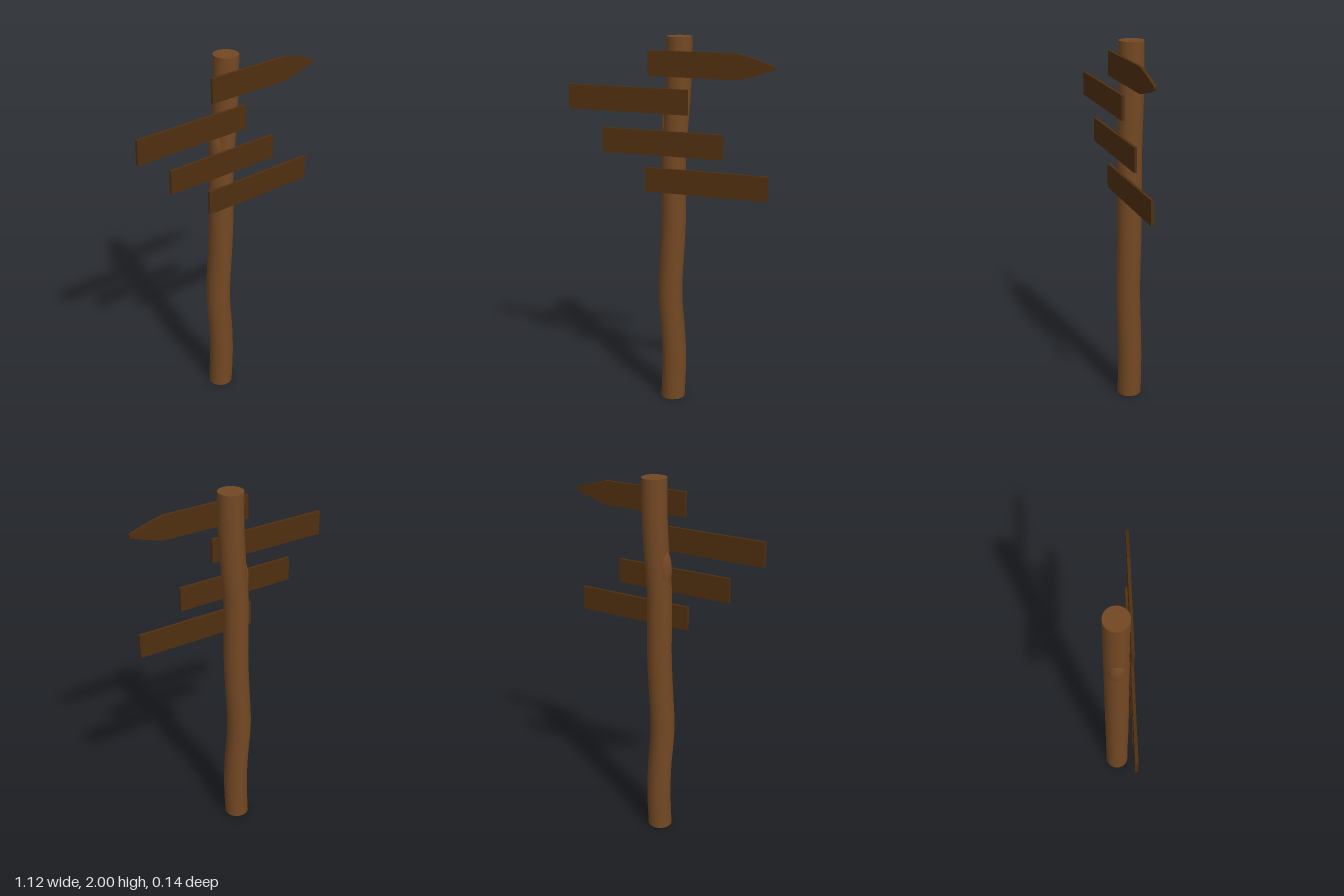
import * as THREE from 'three';

export function createModel() {
  const group = new THREE.Group();
  const postWood = new THREE.MeshStandardMaterial({ color: 0x734823 });
  postWood.name = 'post wood';
  const boardWood = new THREE.MeshStandardMaterial({ color: 0x4f2f10 });
  boardWood.name = 'dark board wood';

  const add = (name, geometry, material) => {
    const mesh = new THREE.Mesh(geometry, material);
    mesh.name = name;
    group.add(mesh);
    return mesh;
  };

  // Crooked post: a cylinder whose rings slide sideways along a bent centre line
  const bend = new THREE.CatmullRomCurve3([
    [0, 0], [0.008, 0.2], [0.002, 0.38], [-0.015, 0.58], [-0.014, 0.7], [-0.003, 0.88],
    [0.004, 1.05], [0.004, 1.4], [0.015, 1.54], [0.027, 1.7], [0.034, 1.85], [0.034, 2],
  ].map(([x, y]) => new THREE.Vector3(x, y, 0)));
  const line = bend.getPoints(200);
  const offset = (y) => {
    const i = Math.max(1, line.findIndex((p) => p.y >= y - 1e-6));
    const a = line[i - 1], b = line[i];
    return THREE.MathUtils.mapLinear(y, a.y, b.y, a.x, b.x);
  };
  const post = new THREE.CylinderGeometry(0.066, 0.066, 2, 24, 40);
  post.translate(0, 1, -0.007);
  const pos = post.attributes.position;
  for (let i = 0; i < pos.count; i++) {
    const y = Math.min(2, Math.max(0, pos.getY(i)));
    pos.setX(i, pos.getX(i) + offset(y));
  }
  add('post', post, postWood);

  // Swelling of the trunk at its upper bend
  const knot = new THREE.SphereGeometry(1, 16, 12);
  knot.scale(0.032, 0.11, 0.045);
  knot.translate(-0.03, 1.52, -0.007);
  add('knot', knot, postWood);

  // Plain boards on the front of the post: centre x, centre y
  const LENGTH = 0.665, HEIGHT = 0.13, DEPTH = 0.015, Z = 0.0625;
  [['upperBoard', -0.228, 1.673], ['middleBoard', -0.038, 1.453], ['lowerBoard', 0.202, 1.255]]
    .forEach(([name, x, y]) => {
      add(name, new THREE.BoxGeometry(LENGTH, HEIGHT, DEPTH), boardWood).position.set(x, y, Z);
    });

  // Top board tapers to a blunt arrow tip
  const upper = [[-0.11, 0.065], [0.37, 0.065], [0.46, 0.041], [0.545, 0.012], [0.555, 0.007]];
  const lower = upper.map(([x, y]) => [x, -y]).reverse();
  const outline = new THREE.Shape([...upper, ...lower].map(([x, y]) => new THREE.Vector2(x, y)));
  const arrow = new THREE.ExtrudeGeometry(outline, { depth: DEPTH, bevelEnabled: false });
  add('arrowBoard', arrow, boardWood).position.set(0, 1.865, Z - DEPTH / 2);

  return group;
}
